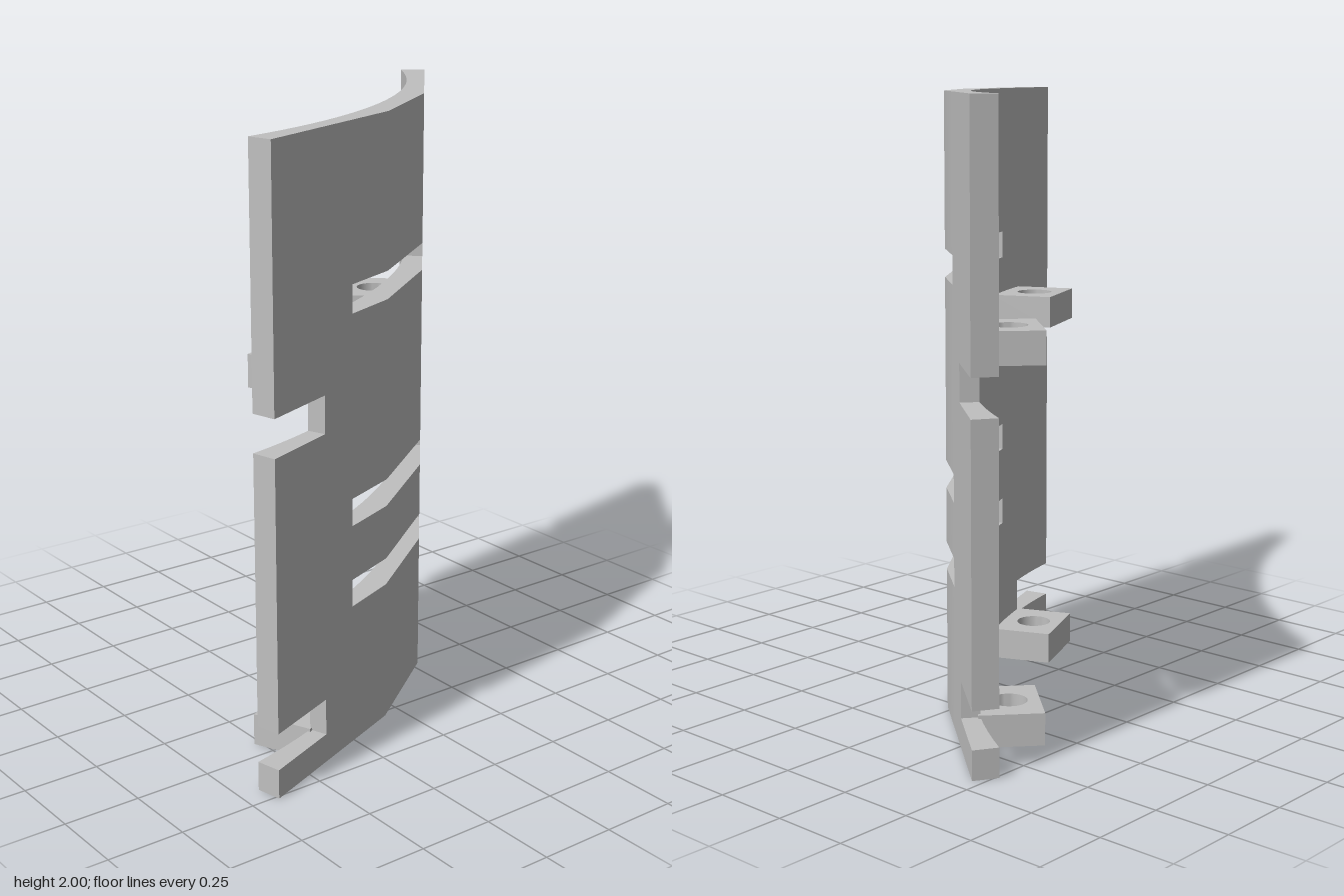
import * as THREE from 'three';
import { toCreasedNormals } from 'three/addons/utils/BufferGeometryUtils.js';

// The panel is an arc in plan: angles t are degrees either side of its mid-line
const CX = -1.572, CZ = 1.138, MID = 35.88, INNER = 2.054, OUTER = 2.138;
const END = 23, NOTCH = 15.7, SLOT = 11.35, KINK = 5.7, FACET = (END + KINK) / 2;
const rad = THREE.MathUtils.degToRad;

const direction = (t) => new THREE.Vector3(Math.cos(rad(MID + t)), 0, -Math.sin(rad(MID + t)));
const point = (t, r, y) => direction(t).multiplyScalar(r).add(new THREE.Vector3(CX, y, CZ));

// The outside has three straight facets
function outerRadius(t) {
  const a = Math.abs(t);
  return a <= KINK
    ? OUTER * Math.cos(rad(KINK)) / Math.cos(rad(t))
    : OUTER * Math.cos(rad(FACET - KINK)) / Math.cos(rad(a - FACET));
}
const outerNormal = (t) => direction(THREE.MathUtils.clamp(t * FACET / SLOT, -FACET, FACET));

// Curved plate made of cells, leaving out the slots and edge notches
function panelGeometry() {
  const stops = [-END, -NOTCH, -SLOT, -KINK, KINK, SLOT, NOTCH, END];
  const ts = [-END];
  for (let i = 1; i < stops.length; i++) {
    const n = Math.ceil((stops[i] - stops[i - 1]) / 2);
    for (let k = 1; k <= n; k++) ts.push(THREE.MathUtils.lerp(stops[i - 1], stops[i], k / n));
  }
  const notches = [[0.095, 0.215], [1.085, 1.205]];
  const slots = [[0.47, 0.56], [0.74, 0.83], [1.42, 1.51]];
  const ys = [0, 2, ...notches.flat(), ...slots.flat()].sort((a, b) => a - b);

  const within = (bands, y) => bands.some(([low, high]) => y > low && y < high);
  const solid = (i, j) => {
    if (i < 0 || j < 0 || i >= ts.length - 1 || j >= ys.length - 1) return false;
    const t = Math.abs(ts[i] + ts[i + 1]) / 2, y = (ys[j] + ys[j + 1]) / 2;
    return !(t > NOTCH && within(notches, y)) && !(t < SLOT && within(slots, y));
  };

  const positions = [], normals = [];
  const quad = (p, n) => {
    const facing = p[1].clone().sub(p[0]).cross(p[2].clone().sub(p[0])).dot(n[0]);
    for (const k of facing > 0 ? [0, 1, 2, 0, 2, 3] : [0, 2, 1, 0, 3, 2]) {
      positions.push(...p[k].toArray());
      normals.push(...n[k].toArray());
    }
  };
  const flat = (p, n) => quad(p, [n, n, n, n]);

  for (let i = 0; i < ts.length - 1; i++) {
    for (let j = 0; j < ys.length - 1; j++) {
      if (!solid(i, j)) continue;
      const a = ts[i], b = ts[i + 1], y0 = ys[j], y1 = ys[j + 1];
      const inn = (t, y) => point(t, INNER, y);
      const out = (t, y) => point(t, outerRadius(t), y);
      // inside and outside skins
      const na = direction(a).negate(), nb = direction(b).negate();
      quad([inn(a, y0), inn(b, y0), inn(b, y1), inn(a, y1)], [na, nb, nb, na]);
      const oa = outerNormal(a), ob = outerNormal(b);
      quad([out(a, y0), out(b, y0), out(b, y1), out(a, y1)], [oa, ob, ob, oa]);
      // cut faces next to empty cells
      for (const s of [-1, 1]) {
        if (!solid(i, j + s)) {
          const y = s > 0 ? y1 : y0;
          flat([inn(a, y), inn(b, y), out(b, y), out(a, y)], new THREE.Vector3(0, s, 0));
        }
        if (!solid(i + s, j)) {
          const t = s > 0 ? b : a;
          flat([inn(t, y0), out(t, y0), out(t, y1), inn(t, y1)], direction(t + 90 * s));
        }
      }
    }
  }
  const geometry = new THREE.BufferGeometry();
  geometry.setAttribute('position', new THREE.Float32BufferAttribute(positions, 3));
  geometry.setAttribute('normal', new THREE.Float32BufferAttribute(normals, 3));
  return geometry;
}

// Square mounting lug with a round bolt hole, its back edge sunk into the panel
function lugGeometry() {
  const shape = new THREE.Shape([
    new THREE.Vector2(-0.098, -0.132), new THREE.Vector2(0.11, -0.132),
    new THREE.Vector2(0.11, 0.132), new THREE.Vector2(-0.098, 0.132),
  ]);
  shape.holes.push(new THREE.Path().absarc(0, 0, 0.059, 0, Math.PI * 2, true));
  const geometry = new THREE.ExtrudeGeometry(shape, { depth: 0.105, bevelEnabled: false, curveSegments: 20 });
  geometry.rotateX(-Math.PI / 2);
  return toCreasedNormals(geometry, 0.6);
}

export function createModel() {
  const model = new THREE.Group();
  model.name = 'slottedCurvedPanel';
  const grey = new THREE.MeshStandardMaterial({ color: 0xc0c0c0 });
  grey.name = 'grey';

  const panel = new THREE.Mesh(panelGeometry(), grey);
  panel.name = 'panel';
  model.add(panel);

  // Two pairs of lugs on the inner face
  const lugShape = lugGeometry();
  for (const [level, y] of [['lower', 0], ['upper', 1.195]]) {
    for (const [side, t] of [['Right', 12.4], ['Left', -12.4]]) {
      const lug = new THREE.Mesh(lugShape, grey);
      lug.name = `${level}${side}Lug`;
      lug.position.copy(point(t, 1.948, y));
      lug.rotation.y = rad(MID + t);
      model.add(lug);
    }
  }
  return model;
}
